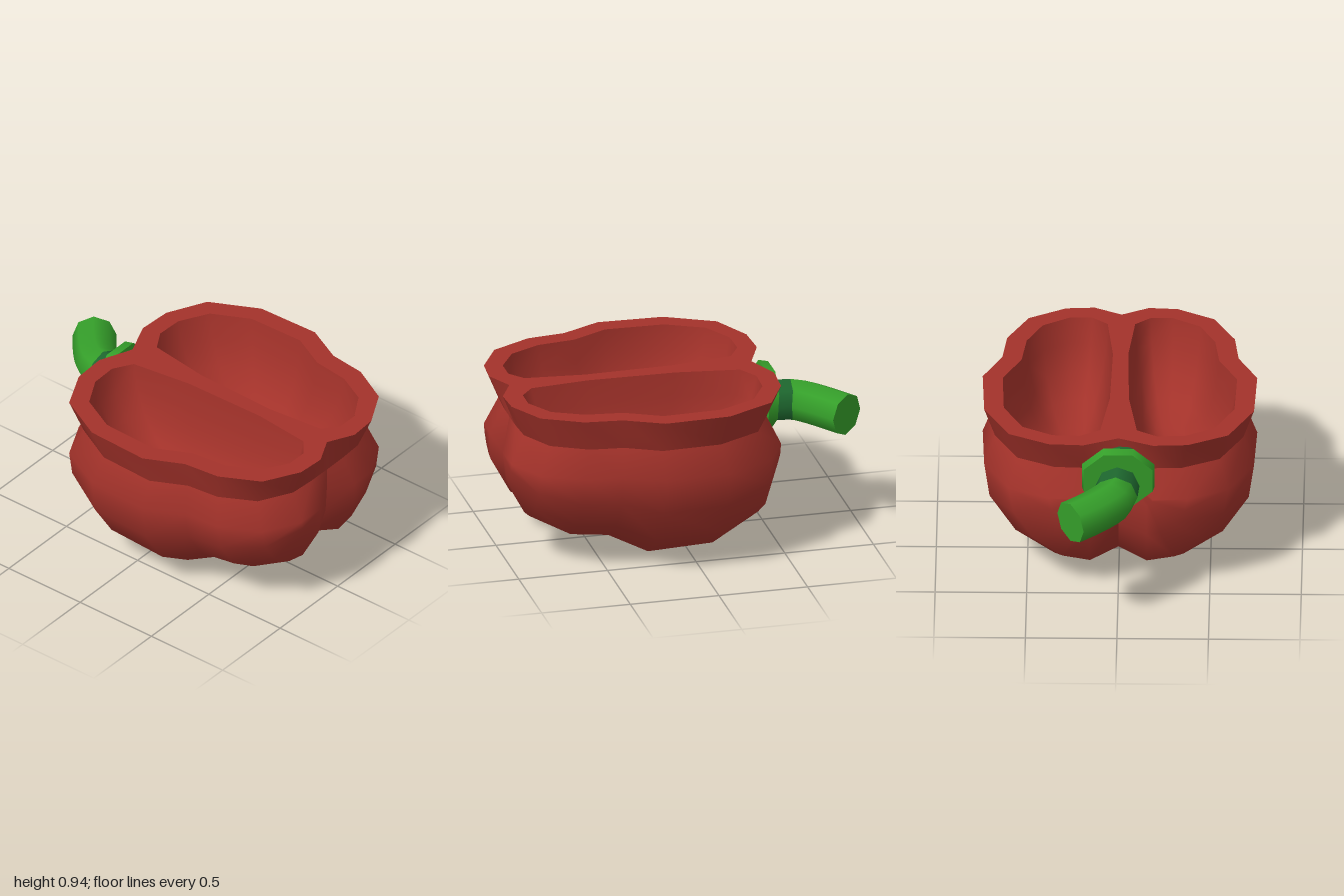
import * as THREE from 'three';
import { mergeVertices } from 'three/addons/utils/BufferGeometryUtils.js';

const red = new THREE.MeshStandardMaterial({ color: 0xa3322a });
red.name = 'pepper red';
const green = new THREE.MeshStandardMaterial({ color: 0x359f2a });
green.name = 'stem green';
const darkGreen = new THREE.MeshStandardMaterial({ color: 0x1e682f });
darkGreen.name = 'dark green';

const MID = 0.755, RIM = 0.94, CX = 0.24; // crease height, cut height, body centre
const DIP = 0.155; // distance over which a crease sinks in
const ENDS = [-0.44, 0.925];

// Side profile: [x, half width]
const PROFILE = [[-0.52, 0.19], [-0.51, 0.38], [-0.4, 0.6], [-0.13, 0.737], [0.235, 0.75],
  [0.45, 0.645], [0.66, 0.622], [0.88, 0.507], [0.99, 0.305], [1.0, 0.148]];

// Mouth of one seed chamber: [x, z]
const MOUTH = [[-0.35, 0.1], [0, 0.052], [0.49, 0.042], [0.82, 0.075], [0.89, 0.16], [0.89, 0.28],
  [0.8, 0.43], [0.63, 0.515], [0.42, 0.54], [0.22, 0.64], [-0.11, 0.63], [-0.32, 0.525],
  [-0.41, 0.36], [-0.415, 0.21]];

// Smooth skin over rows of points; coinciding points are joined
function skin(rows, closed, flip) {
  const n = rows[0].length, index = [];
  for (let i = 0; i < rows.length - 1; i++) {
    for (let j = 0; j < (closed ? n : n - 1); j++) {
      const k = (j + 1) % n;
      const a = i * n + j, b = i * n + k, c = a + n, d = b + n;
      if (flip) index.push(a, c, b, b, c, d);
      else index.push(a, b, c, b, d, c);
    }
  }
  const g = new THREE.BufferGeometry();
  g.setAttribute('position', new THREE.Float32BufferAttribute(rows.flat(2), 3));
  g.setIndex(index);
  const merged = mergeVertices(g);
  merged.computeVertexNormals();
  return merged;
}

// Cross-section of one lobe, from the side crease to the bottom crease
function lobeSection(x, a, side) {
  const cx = CX + (x - CX) * 0.9;
  const d = Math.min(DIP, a), start = Math.atan2(d, a), r = Math.hypot(a, d);
  const bulge = 0.08 * (1 - d / a);
  const row = [[cx, MID, a * 0.92 * side]];
  for (const t of [0, 0.22, 0.5, 0.78, 1]) {
    const ang = start + (Math.PI / 2 - 2 * start) * t;
    const rr = r * (1 + bulge * Math.sqrt(Math.sin(Math.PI * t)));
    row.push([x, MID - rr * Math.sin(ang) * 1.006, rr * Math.cos(ang) * side]);
  }
  row.push([cx, MID - a * 0.92, 0]);
  return row;
}

function lobe(side) {
  const pole = x => Array.from({ length: 7 }, () => [x, MID, 0]);
  const rows = [pole(ENDS[0]), ...PROFILE.map(([x, a]) => lobeSection(x, a, side)), pole(ENDS[1])];
  return skin(rows, false, side < 0);
}

// Full loop around the body at one height
function outline(y, xScale, zScale) {
  const half = PROFILE.map(([x, a]) => [CX + (x - CX) * xScale, y, a * zScale]);
  const back = half.map(([x, h, z]) => [x, h, -z]).reverse();
  return [[ENDS[0], y, 0], ...half, [ENDS[1], y, 0], ...back];
}

// Rounded hollow: [height, scale of the mouth]
function chamber(side) {
  const levels = [[RIM, 1], [0.8, 0.95], [0.66, 0.83], [0.55, 0.64], [0.48, 0.38], [0.45, 0]];
  const rows = levels.map(([y, s]) => MOUTH.map(([x, z]) =>
    [CX + (x - CX) * s, y, (0.27 + (z - 0.27) * s) * side]));
  return skin(rows, true, side > 0);
}

function cutFace() {
  const shape = new THREE.Shape(outline(RIM, 1, 1).map(p => new THREE.Vector2(p[0], -p[2])));
  for (const side of [1, -1]) {
    shape.holes.push(new THREE.Path(MOUTH.map(([x, z]) => new THREE.Vector2(x, z * side))));
  }
  return new THREE.ShapeGeometry(shape).rotateX(-Math.PI / 2).translate(0, RIM, 0);
}

export function createModel() {
  const model = new THREE.Group();
  model.name = 'halfPepper';
  const add = (name, geometry, material, parent = model) => {
    const mesh = new THREE.Mesh(geometry, material);
    mesh.name = name;
    parent.add(mesh);
    return mesh;
  };

  // Flesh
  for (const [side, word] of [[1, 'front'], [-1, 'back']]) {
    add(word + 'Lobe', lobe(side), red);
    add(word + 'SeedChamber', chamber(side), red);
  }
  add('rimCollar', skin([outline(MID, 0.9, 0.92), outline(RIM, 1, 1)], true, false), red);
  add('cutFace', cutFace(), red);

  // Calyx discs where the stem meets the body
  const stem = new THREE.Group();
  stem.name = 'stem';
  model.add(stem);
  const disc = (name, r0, r1, x0, x1, mat) => {
    const g = new THREE.CylinderGeometry(r0, r1, x1 - x0, 8).rotateY(Math.PI / 8).rotateZ(Math.PI / 2);
    const mesh = add(name, g, mat, stem);
    mesh.position.set((x0 + x1) / 2, 0.735, 0);
    mesh.scale.y = 0.87;
    return mesh;
  };
  disc('calyxBase', 0.17, 0.2, -0.5, -0.41, darkGreen);
  disc('calyx', 0.205, 0.215, -0.545, -0.49, green).rotation.z = 0.06;

  // Stalk: a straight dark neck of three segments, then the bend
  const SEGMENTS = 10, SIDES = 8, RADIUS = 0.12, NECK = 3 * SIDES * 6;
  const v = (x, y, z) => new THREE.Vector3(x, y, z);
  const curve = new THREE.CurvePath();
  curve.add(new THREE.LineCurve3(v(-0.5, 0.702, 0), v(-0.66, 0.698, -0.012)));
  curve.add(new THREE.CubicBezierCurve3(v(-0.66, 0.698, -0.012), v(-0.72, 0.695, -0.025),
    v(-0.82, 0.684, -0.135), v(-0.912, 0.678, -0.255)));
  const tube = new THREE.TubeGeometry(curve, SEGMENTS, RADIUS, SIDES);
  tube.addGroup(0, NECK, 0);
  tube.addGroup(NECK, tube.index.count - NECK, 1);
  add('stalk', tube, [darkGreen, green], stem);

  // Cut end of the stalk, turned to match the last ring
  const end = new THREE.CircleGeometry(RADIUS, SIDES);
  const { normals, binormals, tangents } = tube;
  const cap = add('stalkEnd', end, green, stem);
  cap.position.copy(curve.getPointAt(1));
  cap.quaternion.setFromRotationMatrix(new THREE.Matrix4().makeBasis(
    normals[SEGMENTS], binormals[SEGMENTS], tangents[SEGMENTS]));
  return model;
}
